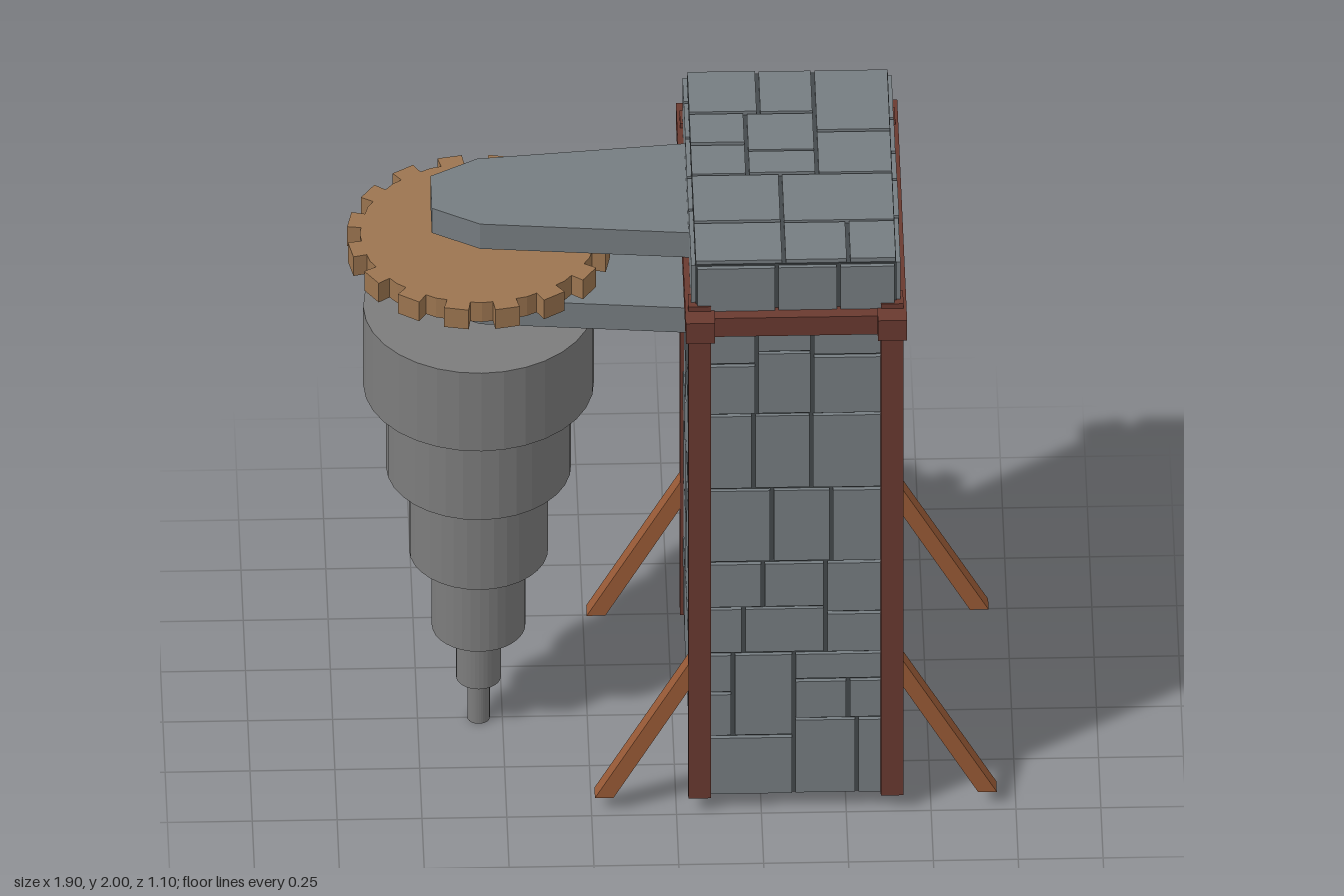
import * as THREE from 'three';

const mat = (color, flatShading = false) => new THREE.MeshStandardMaterial({ color, flatShading });
const STONE = mat(0x767d81), MORTAR = mat(0x44494c), STEEL = mat(0x7c7c7c, true);
const BEAM = mat(0x6a3a30), STRUT = mat(0x985a36), GEAR = mat(0x9c7550);

// tower centre line, drill axis
const TX = 0.352, DX = -0.57;

let seed = 11;
const rand = () => (seed = (seed * 16807) % 2147483647) / 2147483647;

function add(parent, name, geometry, material) {
  const mesh = new THREE.Mesh(geometry, material);
  mesh.name = name;
  parent.add(mesh);
  return mesh;
}

// box given by its min and max on each axis
function block(parent, name, [x0, x1], [y0, y1], [z0, z1], material) {
  const mesh = add(parent, name, new THREE.BoxGeometry(x1 - x0, y1 - y0, z1 - z0), material);
  mesh.position.set((x0 + x1) / 2, (y0 + y1) / 2, (z0 + z1) / 2);
  return mesh;
}

function prism(points, depth) {
  const shape = new THREE.Shape(points.map(([x, y]) => new THREE.Vector2(x, y)));
  return new THREE.ExtrudeGeometry(shape, { depth, bevelEnabled: false });
}

// horizontal plate: points are (x, z), top surface at yTop
function plate(points, thickness, yTop) {
  return prism(points, thickness).rotateX(Math.PI / 2).translate(0, yTop, 0);
}

// irregular masonry: split a w x h panel at random until the stones are small
function masonry(w, h, maxSide) {
  const panel = new THREE.Group();
  panel.name = 'masonry';
  const gap = 0.011;
  const split = (x, y, a, b) => {
    const across = a > b * (0.75 + rand() * 0.5);
    const t = 0.35 + rand() * 0.3;
    if (Math.max(a, b) > maxSide * (0.85 + rand() * 0.4)) {
      if (across) { split(x, y, a * t, b); split(x + a * t, y, a * (1 - t), b); }
      else { split(x, y, a, b * t); split(x, y + b * t, a, b * (1 - t)); }
      return;
    }
    const d = 0.011 + rand() * 0.004;
    block(panel, 'stone', [x + gap / 2, x + a - gap / 2], [y + gap / 2, y + b - gap / 2], [0, d], STONE);
  };
  split(-w / 2, -h / 2, w, h);
  return panel;
}

// mortar core with stones on its four walls
function walls(parent, name, hx, hz, y0, y1) {
  const section = new THREE.Group();
  section.name = name;
  block(section, 'mortarCore', [TX - hx, TX + hx], [y0, y1], [-hz, hz], MORTAR);
  for (let i = 0; i < 4; i++) {
    const side = i % 2 === 1;
    const panel = masonry((side ? hz : hx) * 2, y1 - y0, 0.27);
    const a = i * Math.PI / 2, r = side ? hx : hz;
    panel.rotation.y = a;
    panel.position.set(TX + Math.sin(a) * r, (y0 + y1) / 2, Math.cos(a) * r);
    section.add(panel);
  }
  parent.add(section);
}

function createTower() {
  const tower = new THREE.Group();
  tower.name = 'tower';
  walls(tower, 'shaft', 0.293, 0.463, 0.05, 1.8);
  walls(tower, 'cap', 0.296, 0.472, 1.8, 1.985);
  const roof = masonry(0.6, 0.95, 0.3);
  roof.rotation.x = -Math.PI / 2;
  roof.position.set(TX, 1.985, 0);
  tower.add(roof);
  return tower;
}

function createFrame() {
  const frame = new THREE.Group();
  frame.name = 'timberFrame';
  for (const sx of [-1, 1]) {
    const span = (a, b) => [TX + sx * a, TX + sx * b].sort((p, q) => p - q);
    block(frame, 'sideBeam', span(0.24, 0.326), [1.755, 1.828], [-0.55, 0.55], BEAM);
    for (const sz of [-1, 1]) {
      const zs = (a, b) => [sz * a, sz * b].sort((p, q) => p - q);
      block(frame, 'cornerPost', span(0.25, 0.317), [0.05, 1.845], zs(0.425, 0.49), BEAM);

      // slanted ground strut leaning on the post
      const leg = [[0.592, 0.05], [0.537, 0.05], [0.315, 0.44], [0.315, 0.535]]
        .map(([x, y]) => [TX + sx * x, y]);
      add(frame, 'groundStrut', prism(leg, 0.053), STRUT).position.z = sz * 0.454 - 0.0265;

      // diagonal brace under the side beam, drawn in (z, y)
      const brace = prism([[0.43, 1.525], [0.43, 1.605], [0.295, 1.76], [0.215, 1.76]]
        .map(([z, y]) => [-sz * z, y]), 0.05).rotateY(Math.PI / 2);
      add(frame, 'diagonalBrace', brace, STRUT).position.x = TX + sx * 0.287 - 0.025;
    }
  }
  for (const sz of [-1, 1]) {
    block(frame, 'crossBeam', [0.04, 0.664], [1.758, 1.825], sz > 0 ? [0.45, 0.522] : [-0.522, -0.45], BEAM);
  }
  return frame;
}

function createDrill() {
  const drill = new THREE.Group();
  drill.name = 'drill';
  // stepped tiers: radius, bottom, top
  const tiers = [
    [0.34, 1.22, 1.505], [0.273, 0.92, 1.22], [0.205, 0.615, 0.92],
    [0.138, 0.34, 0.615], [0.066, 0.15, 0.34], [0.033, 0, 0.15],
  ];
  for (const [r, y0, y1] of tiers) {
    add(drill, 'drillTier', new THREE.CylinderGeometry(r, r, y1 - y0, 32), STEEL)
      .position.set(DX, (y0 + y1) / 2, 0);
  }
  add(drill, 'driveShaft', new THREE.CylinderGeometry(0.062, 0.062, 0.36, 16), STEEL).position.set(DX, 1.68, 0);

  // sixteen-tooth gear
  const teeth = 16, outline = [];
  for (let i = 0; i < teeth; i++) {
    const a = (i + 0.5) * Math.PI * 2 / teeth;
    for (const [da, r] of [[-0.1, 0.347], [-0.095, 0.388], [0.095, 0.388], [0.1, 0.347], [0.196, 0.35]]) {
      outline.push([DX + Math.cos(a + da) * r, Math.sin(a + da) * r]);
    }
  }
  add(drill, 'gear', plate(outline, 0.07, 1.77), GEAR);

  // arms holding the drive shaft
  const arm = [[0.07, -0.225], [0.07, 0.225], [DX, 0.163], [-0.71, 0.08], [-0.71, -0.08], [DX, -0.163]];
  add(drill, 'upperArm', plate(arm, 0.09, 1.92), STONE);
  add(drill, 'lowerArm', plate(arm, 0.09, 1.645), STONE);
  return drill;
}

export function createModel() {
  seed = 11;
  const model = new THREE.Group();
  model.name = 'drillTower';
  model.add(createTower(), createFrame(), createDrill());
  return model;
}
